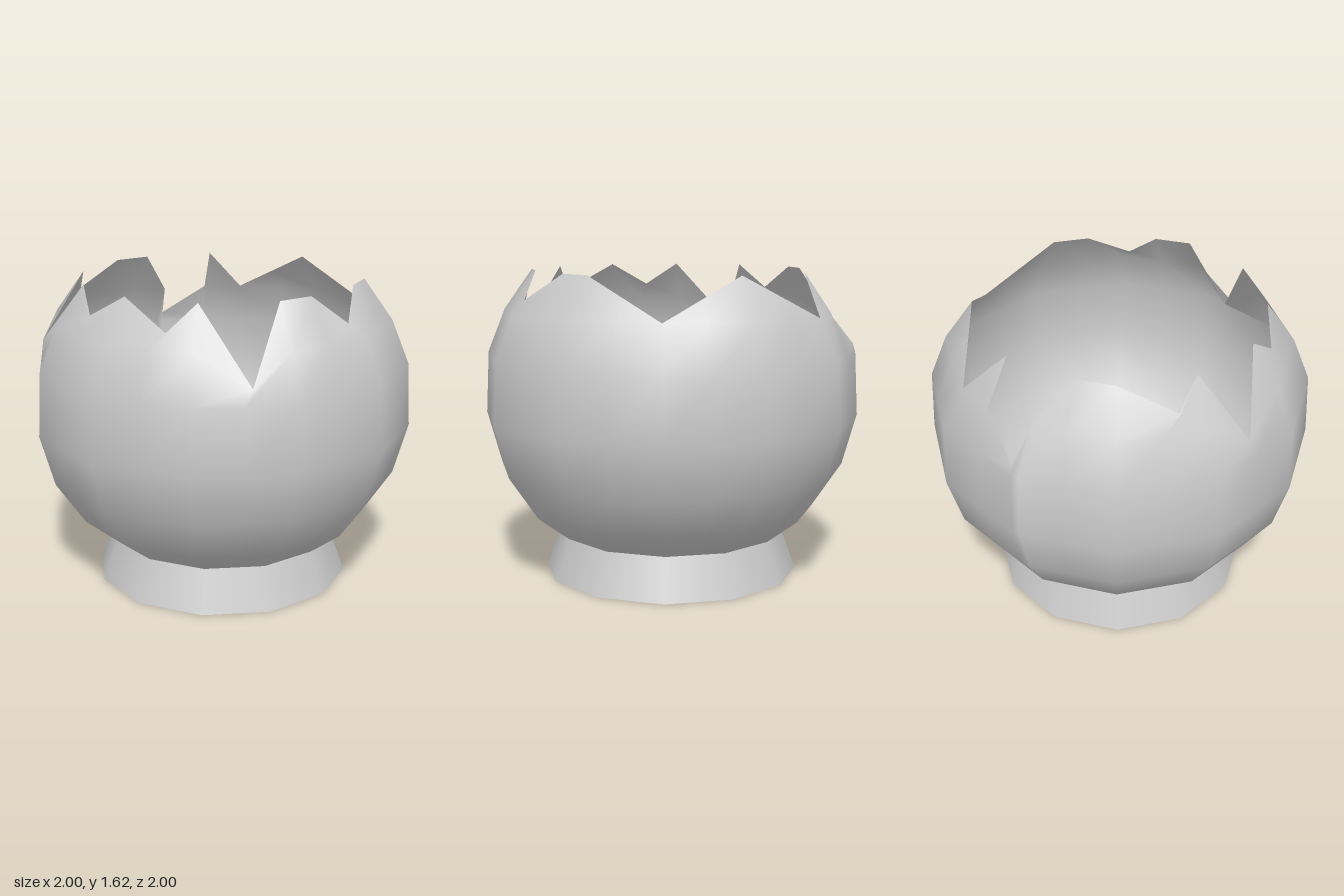
import * as THREE from 'three';
import { mergeVertices } from 'three/addons/utils/BufferGeometryUtils.js';

const SIDES = 12;
const STEP = (Math.PI * 2) / SIDES;

// Bowl profile: [radius at a corner, height]
const PROFILE = [[0.6, 0.22], [0.77, 0.35], [0.925, 0.58], [1, 0.85], [0.983, 1.18], [0.89, 1.41]];

// Broken rim: [angle in degrees from +x towards +z, x, y, z]
const RIM = [
  [0, 0.85, 1.41, 0], [15, 0.745, 1.515, 0.185], [30, 0.64, 1.62, 0.37], [45, 0.505, 1.62, 0.505],
  [60, 0.37, 1.48, 0.72], [75, 0.185, 1.62, 0.69], [90, 0, 1.62, 0.74], [105, -0.18, 1.24, 0.85],
  [120, -0.37, 1.62, 0.64], [135, -0.5, 1.46, 0.65], [150, -0.64, 1.62, 0.37], [165, -0.76, 1.5, 0.18],
  [180, -0.74, 1.62, 0], [195, -0.89, 1.29, -0.29], [210, -0.64, 1.62, -0.37], [225, -0.64, 1.49, -0.52],
  [240, -0.37, 1.62, -0.64], [255, -0.18, 1.62, -0.69], [268, -0.03, 1.4, -0.83], [270, 0, 1.23, -0.97],
  [285, 0.22, 1.4, -0.83], [285, 0.2, 1.62, -0.69], [300, 0.42, 1.4, -0.76], [315, 0.53, 1.51, -0.565],
  [330, 0.64, 1.62, -0.37], [345, 0.745, 1.515, -0.185],
];

// Distance to the side of a regular polygon at a given angle
function polygonRadius(r, a) {
  return (r * Math.cos(STEP / 2)) / Math.cos((a % STEP) - STEP / 2);
}

// Columns rise through the profile rings and stop at the broken rim
function bowlGeometry() {
  const rows = PROFILE.length + 1;
  const positions = [];
  const index = [];
  RIM.forEach(([deg, x, y, z], j) => {
    const a = THREE.MathUtils.degToRad(deg);
    for (const [radius, h] of PROFILE) {
      const r = polygonRadius(radius, a);
      if (h < y - 0.02) positions.push(r * Math.cos(a), h, r * Math.sin(a));
      else positions.push(x, y, z);
    }
    positions.push(x, y, z);
    const next = (j + 1) % RIM.length;
    for (let i = 0; i < rows - 1; i++) {
      const p = j * rows + i;
      const q = next * rows + i;
      index.push(p, p + 1, q, p + 1, q + 1, q);
    }
  });
  const geometry = new THREE.BufferGeometry();
  geometry.setAttribute('position', new THREE.Float32BufferAttribute(positions, 3));
  geometry.setIndex(index);
  const merged = mergeVertices(geometry, 1e-4);
  merged.computeVertexNormals();
  return merged;
}

export function createModel() {
  const model = new THREE.Group();
  model.name = 'brokenBowl';
  const material = new THREE.MeshStandardMaterial({ color: 0xcccccc, side: THREE.DoubleSide });

  // Thin rounded shell with a jagged rim, open at the bottom
  const bowl = new THREE.Mesh(bowlGeometry(), material);
  bowl.name = 'bowlShell';
  model.add(bowl);

  // Flared open ring under the shell
  const foot = new THREE.Mesh(new THREE.CylinderGeometry(0.6, 0.68, 0.22, SIDES, 1, true), material);
  foot.name = 'footRing';
  foot.position.y = 0.11;
  model.add(foot);

  return model;
}
